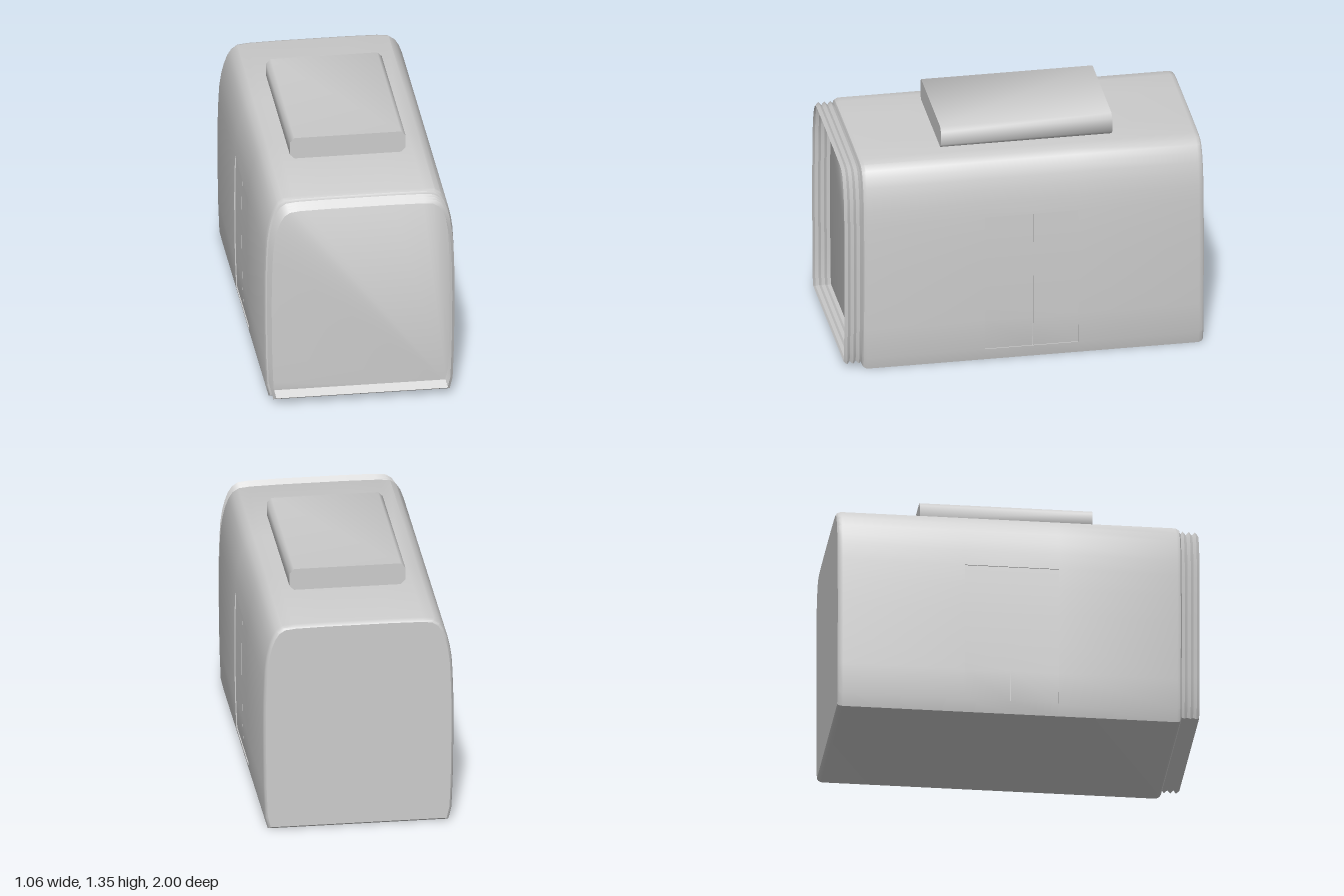
import * as THREE from 'three';
import { toCreasedNormals } from 'three/addons/utils/BufferGeometryUtils.js';

const HALF_W = 0.528, HEIGHT = 1.22, DOOR_DEPTH = 0.006;

// Right half of the cross-section, bottom to top: x, y, belongs to the door
const HALF = [
  [0.5, 0, 0], [0.517, 0.07, 0], [0.517, 0.07, 1], [0.524, 0.25, 1], [0.527, 0.45, 1],
  [0.528, 0.6, 1], [0.527, 0.75, 1], [0.523, 0.88, 1], [0.523, 0.88, 0], [0.518, 0.97, 0],
  [0.508, 1.04, 0], [0.494, 1.1, 0], [0.476, 1.15, 0], [0.453, 1.187, 0], [0.42, 1.21, 0],
  [0.36, 1.217, 0], [0.18, 1.22, 0],
];
const SECTION = [...HALF, ...HALF.map(([x, y, d]) => [-x, y, d]).reverse()];

// Skins sections along z (front to back); each station is { z, inset, floor, recess }
function loft(stations, capped) {
  const n = SECTION.length;
  const rings = stations.map(({ z, inset = 0, floor = inset, recess = 0 }) =>
    SECTION.map(([x, y, door]) => new THREE.Vector3(
      x * (HALF_W - inset) / HALF_W - Math.sign(x) * door * recess,
      floor + y * (HEIGHT - inset - floor) / HEIGHT, z)));
  const pos = [];
  const tri = (a, b, c) => {
    if (new THREE.Triangle(a, b, c).getArea() < 1e-9) return;
    for (const p of [a, b, c]) pos.push(p.x, p.y, p.z);
  };
  for (let i = 0; i + 1 < rings.length; i++) {
    for (let j = 0; j < n; j++) {
      const k = (j + 1) % n, r = rings[i], s = rings[i + 1];
      tri(r[j], s[j], r[k]);
      tri(r[k], s[j], s[k]);
    }
  }
  if (capped) {
    const front = rings[0], back = rings[rings.length - 1];
    for (let j = 1; j + 1 < n; j++) {
      tri(front[0], front[j], front[j + 1]);
      tri(back[0], back[j + 1], back[j]);
    }
  }
  const g = new THREE.BufferGeometry();
  g.setAttribute('position', new THREE.Float32BufferAttribute(pos, 3));
  return toCreasedNormals(g, 0.6);
}

export function createModel() {
  const group = new THREE.Group();
  const grey = new THREE.MeshStandardMaterial({ color: 0xcccccc, side: THREE.DoubleSide });
  grey.name = 'light grey';
  const add = (name, geometry) => {
    const mesh = new THREE.Mesh(geometry, grey);
    mesh.name = name;
    group.add(mesh);
  };

  // Body with bevelled ends and shallow double-door recesses on both sides
  const recess = DOOR_DEPTH, seam = DOOR_DEPTH + 0.005;
  add('carBody', loft([
    { z: 0.9, inset: 0.02 }, { z: 0.893, inset: 0.008 }, { z: 0.875 },
    { z: 0.22 }, { z: 0.22, recess },
    { z: -0.044, recess }, { z: -0.044, recess: seam },
    { z: -0.049, recess: seam }, { z: -0.049, recess },
    { z: -0.3, recess }, { z: -0.3 },
    { z: -0.972 }, { z: -0.992, inset: 0.006 }, { z: -1, inset: 0.015 },
  ], true));

  // Open pleated gangway at the front
  const pleats = [];
  for (let i = 0; i <= 6; i++) {
    const valley = i % 2 === 0;
    pleats.push({ z: 1 - i * 0.1 / 6, inset: valley ? 0.028 : 0.013, floor: valley ? 0.042 : 0.03 });
  }
  add('gangwayBellows', loft(pleats, false));

  // Roof unit with clipped long edges
  const w = 0.32, h = 0.125, c = 0.025;
  const outline = [
    [w - c, 0], [w, c], [w, h - c], [w - c, h], [c - w, h], [-w, h - c], [-w, c], [c - w, 0],
  ].map(([x, y]) => new THREE.Vector2(x, y));
  const roof = new THREE.ExtrudeGeometry(new THREE.Shape(outline), { depth: 0.955, bevelEnabled: false });
  roof.translate(0, HEIGHT, -0.525);
  add('roofUnit', toCreasedNormals(roof, 0.9));

  return group;
}
